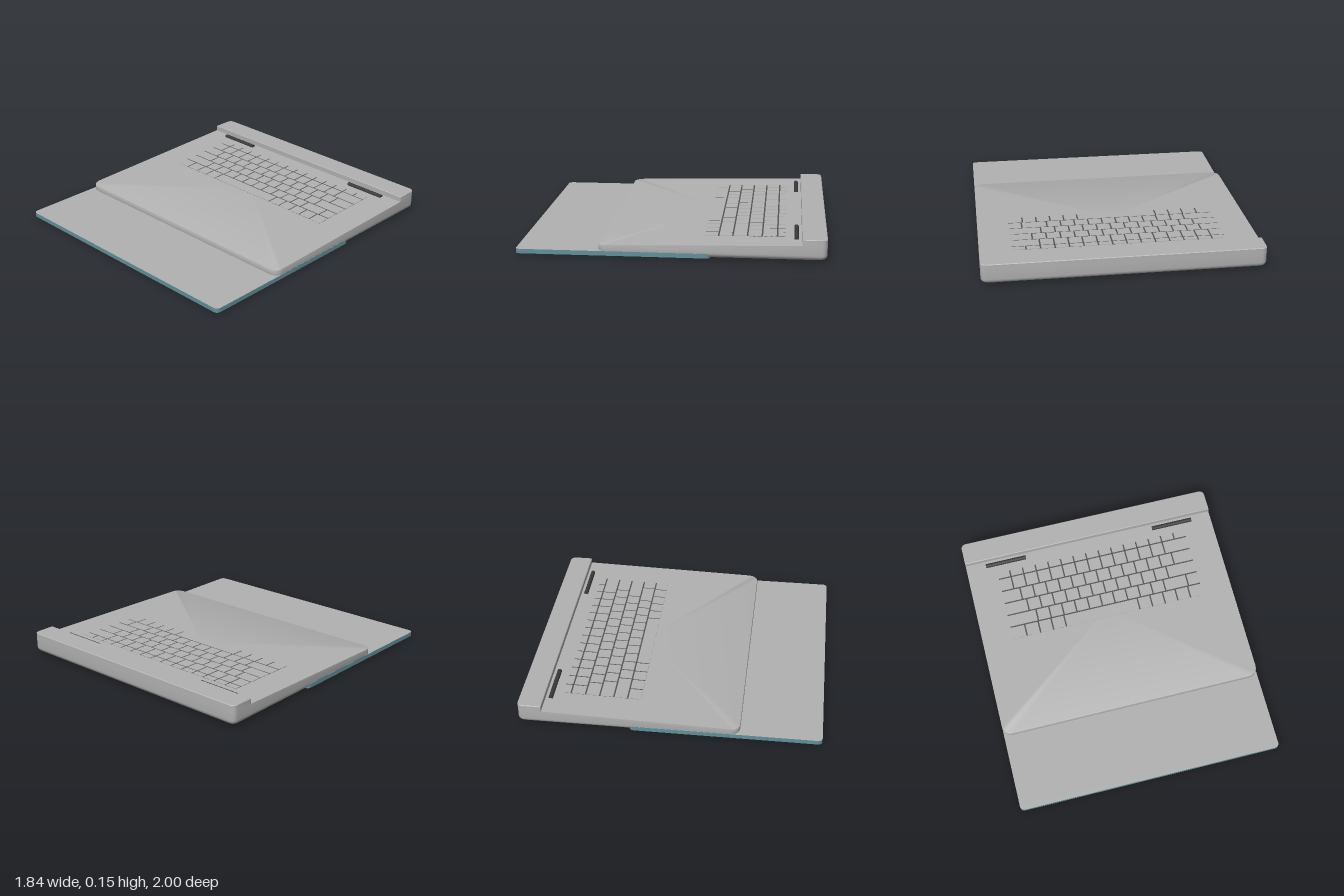
import * as THREE from 'three';
import { toCreasedNormals } from 'three/addons/utils/BufferGeometryUtils.js';

const HALF_W = 0.92;
const SLOPE = 0.0235;
const deckY = (z) => 0.08 + (0.46 - z) * SLOPE;

// Rounded rectangle in plan, clockwise from above
function outline(zBack, zFront, rBack, rFront, inset, insetFront, n = 6) {
  const x = HALF_W - inset, z0 = zBack + inset, z1 = zFront - insetFront;
  const corners = [[1, 1, rFront, 0], [-1, 1, rFront, 1], [-1, -1, rBack, 2], [1, -1, rBack, 3]];
  const pts = [];
  for (const [sx, sz, r, q] of corners) {
    const cx = sx * (x - r), cz = sz > 0 ? z1 - r : z0 + r;
    for (let i = 0; i <= n; i++) {
      const t = (q + i / n) * Math.PI / 2;
      pts.push([cx + r * Math.cos(t), cz + r * Math.sin(t)]);
    }
  }
  return pts;
}

// Stack of plan outlines; each layer is [inset, front inset, height rule]
function loft(zBack, zFront, rBack, rFront, layers) {
  const pos = [], idx = [];
  let n = 0;
  for (const [inset, insetFront, y] of layers) {
    const ring = outline(zBack, zFront, rBack, rFront, inset, insetFront);
    n = ring.length;
    for (const [px, pz] of ring) pos.push(px, y(pz), pz);
  }
  const zMid = (zBack + zFront) / 2, last = layers.length - 1, bottom = n * layers.length;
  pos.push(0, layers[0][2](zMid), zMid, 0, layers[last][2](zMid), zMid);
  for (let i = 0; i < n; i++) {
    const j = (i + 1) % n;
    for (let k = 0; k < last; k++) {
      const a = k * n + i, b = k * n + j;
      idx.push(a, a + n, b + n, a, b + n, b);
    }
    idx.push(bottom, i, j, bottom + 1, last * n + j, last * n + i);
  }
  const g = new THREE.BufferGeometry();
  g.setAttribute('position', new THREE.Float32BufferAttribute(pos, 3));
  g.setIndex(idx);
  return toCreasedNormals(g, 0.6);
}

export function createModel() {
  const mat = (name, color) => {
    const m = new THREE.MeshStandardMaterial({ color });
    m.name = name;
    return m;
  };
  const silver = mat('silver', 0xb2b2b2);
  const teal = mat('teal', 0x5f9099);
  const gapGrey = mat('gap grey', 0x555555);
  const rubber = mat('dark rubber', 0x3a3a3a);

  const model = new THREE.Group();
  model.name = 'convertibleComputer';
  const add = (parent, name, geo, material, x = 0, y = 0, z = 0) => {
    const m = new THREE.Mesh(geo, material);
    m.name = name;
    m.position.set(x, y, z);
    parent.add(m);
    return m;
  };

  // Wedge-shaped keyboard base with a rounded underside
  const baseLayers = [];
  const R = 0.034;
  for (let i = 0; i <= 5; i++) {
    const a = (i / 5) * Math.PI / 2, inset = R * (1 - Math.sin(a));
    baseLayers.push([inset, inset, () => 0.012 + R * (1 - Math.cos(a))]);
  }
  baseLayers.push([0, 0, (z) => deckY(z) - 0.007], [0, 0.002, (z) => deckY(z) - 0.002], [0, 0.007, deckY]);
  add(model, 'keyboardBase', loft(-1, 0.465, 0.035, 0.06, baseLayers), silver);

  // Raised bar along the back
  add(model, 'rearBar', loft(-1, -0.84, 0.035, 0.002, [
    [0, 0, (z) => deckY(z) - 0.001], [0, 0, () => 0.146], [0.004, 0.004, () => 0.15],
  ]), silver);

  // Screen slab slid under the base, with a coloured rim
  const slabShape = new THREE.Shape(
    outline(-0.26, 1, 0.03, 0.03, 0, 0).map(([x, z]) => new THREE.Vector2(x, -z)));
  const slabGeo = new THREE.ExtrudeGeometry(slabShape, { depth: 0.03, bevelEnabled: false });
  slabGeo.rotateX(-Math.PI / 2);
  add(model, 'screenSlab', slabGeo, [silver, teal], 0, 0.01, 0);

  // Keyboard, tilted with the deck
  const keyboard = new THREE.Group();
  keyboard.name = 'keyboard';
  keyboard.position.set(0, 0.08, 0.46);
  keyboard.rotation.x = Math.atan(SLOPE);
  model.add(keyboard);
  const KX = 0.71, U = (2 * KX) / 15, GAP = 0.01;
  const unit = (n) => Array(n).fill(1);
  // Rows: back z, front z, key widths in units (the last key fills the rest)
  const rows = [
    [-0.737, -0.682, unit(14)],
    [-0.682, -0.584, unit(13)],
    [-0.584, -0.488, [1.45, ...unit(12)]],
    [-0.488, -0.393, [1.75, ...unit(11)]],
    [-0.393, -0.3, [2.25, ...unit(10), 1.8]],
    [-0.3, -0.205, [1.15, 1.05, 1, 1, 5.75, 1, 1, 1, 1]],
  ];
  add(keyboard, 'keyGaps', new THREE.BoxGeometry(2 * KX - GAP, 0.002, 0.522), gapGrey, 0, 0.0002, -0.471 - 0.46);
  for (const [z0, z1, widths] of rows) {
    const rest = 15 - widths.reduce((a, b) => a + b, 0);
    let x = -KX;
    for (const w of [...widths, rest]) {
      const geo = new THREE.BoxGeometry(w * U - GAP, 0.005, z1 - z0 - GAP);
      add(keyboard, 'key', geo, silver, x + w * U / 2, 0.001, (z0 + z1) / 2 - 0.46);
      x += w * U;
    }
  }

  // Round rubber rests in front of the bar
  for (const s of [1, -1]) {
    const geo = new THREE.CylinderGeometry(0.015, 0.015, 0.298, 20).rotateZ(Math.PI / 2);
    add(model, s > 0 ? 'leftRest' : 'rightRest', geo, rubber, s * 0.627, 0.113, -0.805);
  }

  // Rubber feet strips underneath
  for (const [name, half, z] of [['rearFoot', 0.72, -0.95], ['frontFoot', 0.67, 0.4]]) {
    const strip = new THREE.CapsuleGeometry(0.014, 2 * half - 0.028, 6, 12).rotateZ(Math.PI / 2);
    add(model, name, strip, rubber, 0, 0.014, z);
  }
  return model;
}
